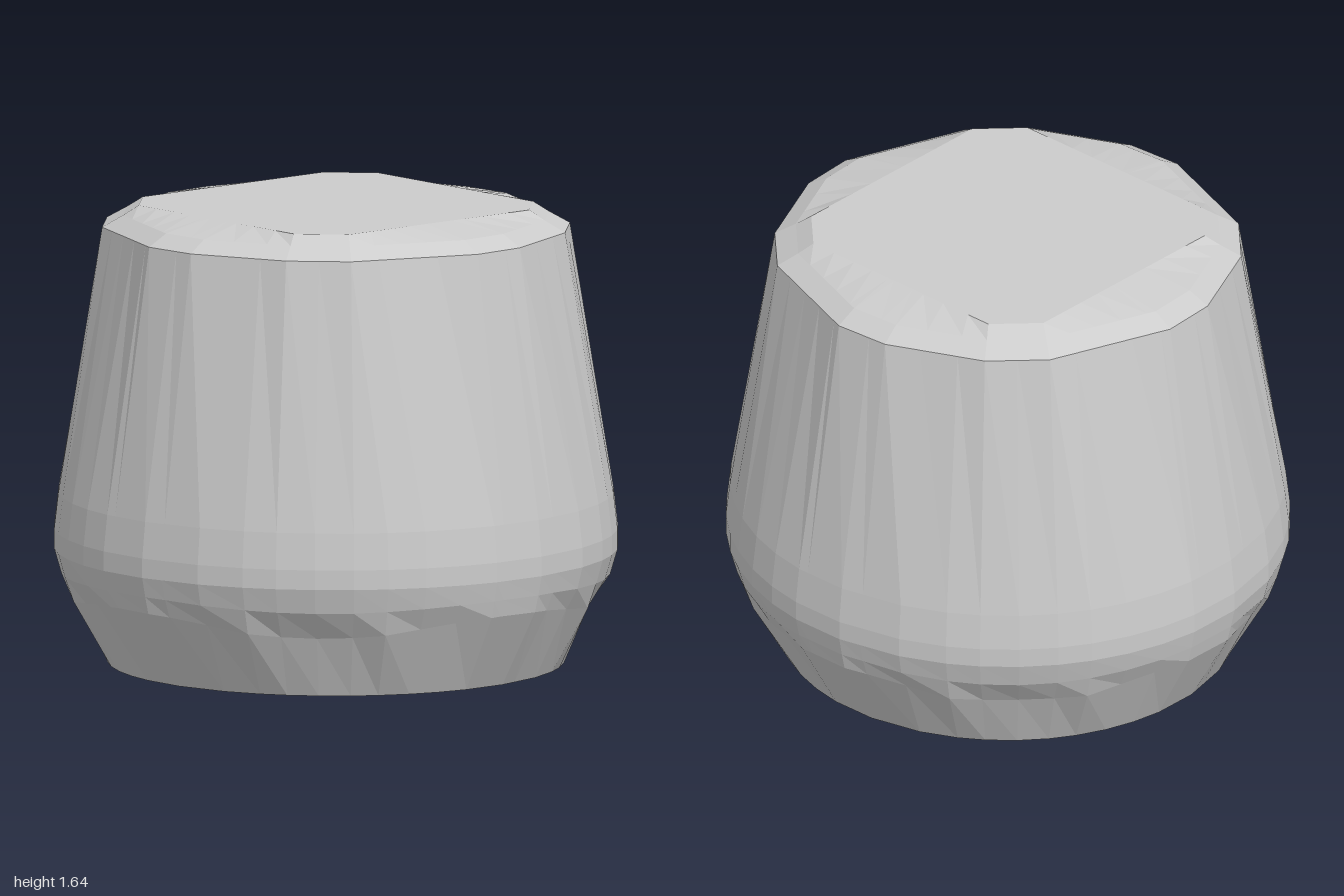
import * as THREE from 'three';

// Column angles in one quadrant (degrees), repeated four times
const QUADRANT = [-11, -6, 3.5, 6, 14, 22, 30, 37, 45, 53, 60, 70];
const COLUMNS = [0, 90, 180, 270].flatMap(q => QUADRANT.map(a => a + q));

// Radius at angle a on a polygon whose corners (degrees, per quadrant) lie at radius R
function polygonRadius(a, corners, R) {
  const all = [-90, 0, 90, 180, 270, 360].flatMap(q => corners.map(c => c + q));
  const k = all.findIndex(c => c > a);
  const lo = all[k - 1], hi = all[k], rad = THREE.MathUtils.degToRad;
  return R * Math.cos(rad((hi - lo) / 2)) / Math.cos(rad(a - (lo + hi) / 2));
}

// Rings from base to top: radius, height, polygon corners, dip between the four sides
const ROUND = [-6, 6, 14, 22, 30, 37, 45, 53, 60, 70];
const RIM = [-11, 3.5, 37, 53];
const RINGS = [
  { r: 0, y: 0, corners: ROUND },
  { r: 0.81, y: 0, corners: ROUND },
  { r: 0.97, y: 0.28, corners: [-6, 6, 30, 60], dip: 0.06 },
  { r: 0.985, y: 0.34, corners: ROUND, dip: 0.02 },
  { r: 1.0, y: 0.41, corners: ROUND },
  { r: 1.0, y: 0.48, corners: ROUND },
  { r: 0.985, y: 0.61, corners: ROUND },
  { r: 0.83, y: 1.56, corners: RIM },
  { r: 0.755, y: 1.602, corners: RIM },
  { r: 0.7, y: 1.637, corners: [37, 53] },
  { r: 0, y: 1.637, corners: [37, 53] },
];

// Skins neighbouring rings with outward-facing triangles
function skin() {
  const n = COLUMNS.length, positions = [], index = [];
  for (const { r, y, corners, dip = 0 } of RINGS) {
    for (const a of COLUMNS) {
      const t = THREE.MathUtils.degToRad(a);
      const drop = dip * Math.sin(2 * t) ** 2;
      const radius = polygonRadius(a, corners, r) - 0.57 * drop;
      positions.push(radius * Math.cos(t), y - drop, radius * Math.sin(t));
    }
  }
  for (let i = 0; i < RINGS.length - 1; i++) {
    for (let j = 0; j < n; j++) {
      const k = (j + 1) % n;
      const a = i * n + j, b = i * n + k, c = a + n, d = b + n;
      if (RINGS[i + 1].r > 0) index.push(a, c, d);
      if (RINGS[i].r > 0) index.push(a, RINGS[i + 1].r > 0 ? d : c, b);
    }
  }
  const geometry = new THREE.BufferGeometry();
  geometry.setAttribute('position', new THREE.Float32BufferAttribute(positions, 3));
  geometry.setIndex(index);
  const faceted = geometry.toNonIndexed();
  faceted.computeVertexNormals();
  return faceted;
}

export function createModel() {
  const group = new THREE.Group();
  group.name = 'facetedPot';
  const body = new THREE.Mesh(
    skin(),
    new THREE.MeshStandardMaterial({ color: 0xcccccc, flatShading: true })
  );
  body.name = 'potBody';
  group.add(body);
  return group;
}
